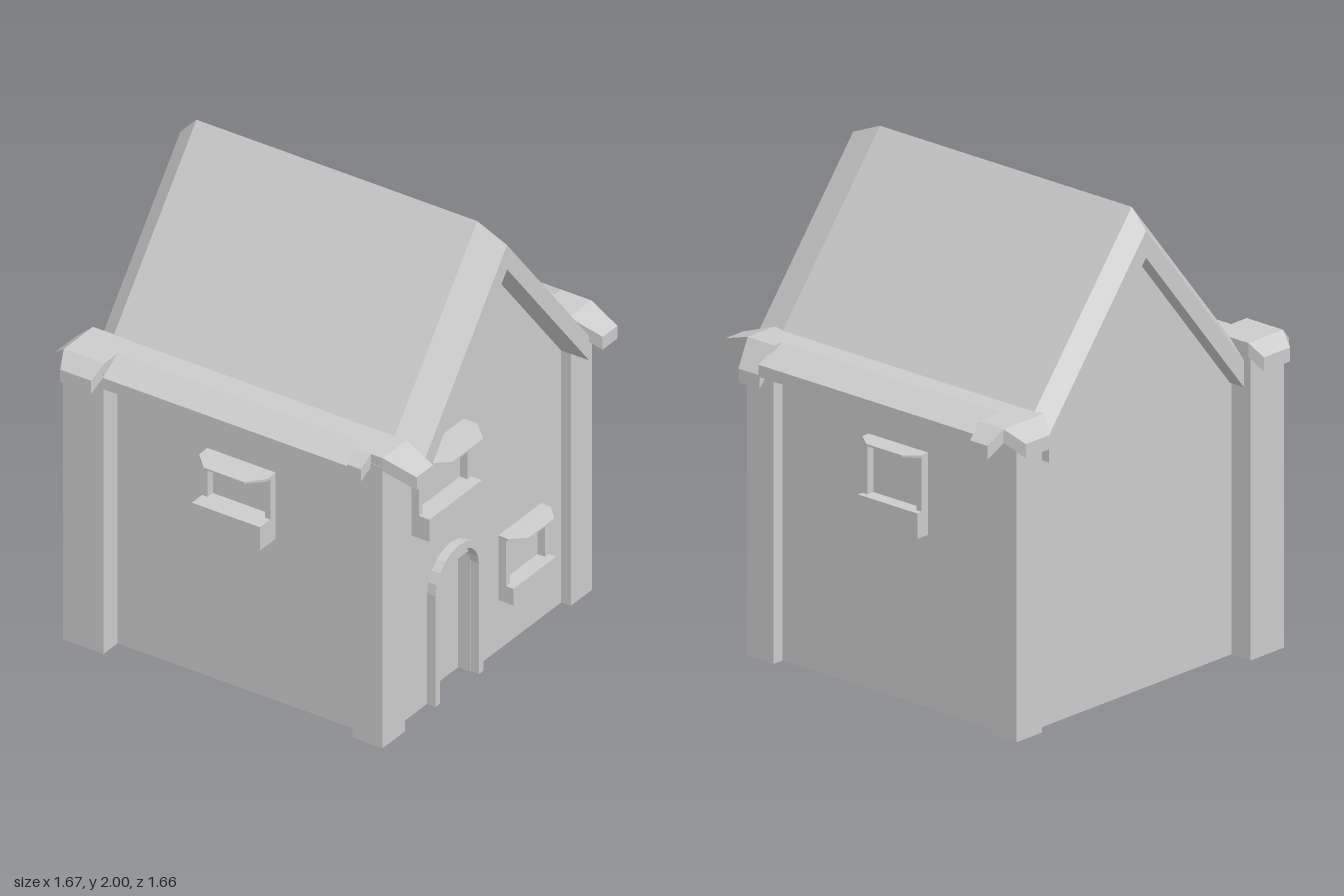
import * as THREE from 'three';
import { ConvexGeometry } from 'three/addons/geometries/ConvexGeometry.js';

const material = new THREE.MeshStandardMaterial({ color: 0xcccccc, flatShading: true });

function add(parent, name, geometry) {
  const mesh = new THREE.Mesh(geometry, material);
  mesh.name = name;
  parent.add(mesh);
  return mesh;
}

// Box given by its limits on each axis
function box(parent, name, x0, x1, y0, y1, z0, z1) {
  const g = new THREE.BoxGeometry(x1 - x0, y1 - y0, z1 - z0);
  g.translate((x0 + x1) / 2, (y0 + y1) / 2, (z0 + z1) / 2);
  return add(parent, name, g);
}

// Faceted convex solid around a few corner points
function hull(parent, name, points) {
  return add(parent, name, new ConvexGeometry(points.map((p) => new THREE.Vector3(...p))));
}

// Outline of [z, y] points extruded along x from x0 to x1
function slabX(parent, name, outline, x0, x1) {
  const shape = new THREE.Shape(outline.map(([z, y]) => new THREE.Vector2(-z, y)));
  const g = new THREE.ExtrudeGeometry(shape, { depth: x1 - x0, bevelEnabled: false });
  g.rotateY(Math.PI / 2);
  g.translate(x0, 0, 0);
  return add(parent, name, g);
}

// Window surround, facing +z, with its bottom centre at the origin
function windowUnit(name, w, h, sillH, sillD, awningD) {
  const g = new THREE.Group();
  g.name = name;
  const a = w / 2, jamb = 0.026;
  box(g, 'windowSill', -a, a, 0, sillH, -0.02, sillD);
  for (const s of [-1, 1]) {
    const x = s * (a - jamb / 2);
    box(g, 'windowJamb', x - jamb / 2, x + jamb / 2, sillH, h - 0.01, -0.02, 0.035);
  }
  const awning = [];
  for (const s of [-1, 1]) {
    awning.push([s * a, h, -0.01], [s * a, h - 0.012, -0.01]);
    awning.push([s * a, h - 0.002, awningD * 0.45], [s * a, h - 0.014, awningD * 0.45]);
    awning.push([s * a * 0.6, h - 0.006, awningD], [s * a * 0.6, h - 0.014, awningD]);
  }
  hull(g, 'windowAwning', awning);
  return g;
}

export function createModel() {
  const house = new THREE.Group();
  house.name = 'house';

  // Walls: gabled body plus a thin right facade notched for the doorway
  const ridgeZ = 0.015;
  const gable = [[-0.635, 1.27], [-0.54, 1.27], [ridgeZ, 1.92], [0.572, 1.27], [0.68, 1.27], [0.68, 0]];
  slabX(house, 'walls', [[-0.635, 0], ...gable], -0.68, 0.59);
  slabX(house, 'doorFacade',
    [[-0.635, 0], ...gable, [0.335, 0], [0.335, 0.55], [0.08, 0.55], [0.08, 0]], 0.59, 0.645);

  // Roof: one slab per slope, with the gable ends dipping down
  const stations = [[-0.755, 0.08], [-0.68, 0], [0.635, 0], [0.775, 0.06]];
  for (const eaveZ of [0.575, -0.54]) {
    const points = [];
    for (const [x, dip] of stations) {
      for (const t of [0, 0.11]) {
        points.push([x, 2 - dip - t, ridgeZ], [x, 1.31 - dip - t, eaveZ]);
      }
    }
    hull(house, 'roofSlope', points);
  }

  // Sloped eave ledges along front and back
  for (const [inner, edge, outer] of [[0.56, 0.68, 0.78], [-0.53, -0.635, -0.76]]) {
    const points = [];
    for (const x of [-0.6, 0.56]) {
      points.push([x, 1.31, inner], [x, 1.31, edge], [x, 1.25, outer],
        [x, 1.2, outer], [x, 1.175, edge], [x, 1.175, inner]);
    }
    hull(house, 'eaveLedge', points);
  }

  // Corner pillars with caps; each cap has a tapered lip along x and along z.
  // lipX: [end x, end z range], lipZ: [end z, end x range, base x range, end y]
  const corners = [
    { x: [-0.78, -0.59], z: [0.584, 0.775], cap: [-0.78, 0.77],
      lipX: [-0.84, 0.595, 0.745], lipZ: [0.83, -0.755, -0.61, -0.78, -0.59, 1.255] },
    { x: [0.69, 0.55], z: [0.584, 0.737], cap: [0.69, 0.735],
      lipX: [0.832, 0.6, 0.71], lipZ: [0.79, 0.56, 0.625, 0.55, 0.635, 1.265] },
    { x: [0.69, 0.55], z: [-0.54, -0.685], cap: [0.69, -0.68],
      lipX: [0.832, -0.55, -0.65], lipZ: [-0.755, 0.56, 0.67, 0.55, 0.69, 1.205] },
    { x: [-0.72, -0.59], z: [-0.54, -0.685], cap: [-0.72, -0.76],
      lipX: [-0.805, -0.585, -0.725], lipZ: [-0.83, -0.7, -0.61, -0.72, -0.59, 1.255] },
  ];
  for (const c of corners) {
    const xs = [...c.x].sort((a, b) => a - b);
    const zs = [...c.z].sort((a, b) => a - b);
    box(house, 'cornerPillar', xs[0], xs[1], 0, 1.27, zs[0], zs[1]);

    const [capX, capZ] = c.cap;
    const innerZ = c.z[0] - Math.sign(capZ) * 0.012;
    box(house, 'pillarCap', xs[0], xs[1], 1.25, 1.31, Math.min(innerZ, capZ), Math.max(innerZ, capZ));

    const [endX, za, zb] = c.lipX;
    const [endZ, xa, xb, baseA, baseB, endY] = c.lipZ;
    const lipX = [], lipZ = [];
    for (const t of [0, 0.058]) {
      lipX.push([capX, 1.31 - t, innerZ], [capX, 1.31 - t, capZ]);
      lipX.push([endX, 1.26 - t, za], [endX, 1.26 - t, zb]);
      lipZ.push([baseA, 1.31 - t, capZ], [baseB, 1.31 - t, capZ]);
      lipZ.push([xa, endY - t, endZ], [xb, endY - t, endZ]);
    }
    hull(house, 'capSideLip', lipX);
    hull(house, 'capFrontLip', lipZ);
  }

  // Arched door surround on the right side
  const archOuter = [], archInner = [];
  const doorZ = 0.208;
  for (let i = 0; i <= 10; i++) {
    const a = (Math.PI * i) / 10, c = Math.cos(a), s = Math.sin(a);
    archOuter.push([doorZ + 0.162 * c, 0.5 + 0.15 * s]);
    archInner.unshift([doorZ + 0.132 * c, 0.5 + 0.122 * s]);
  }
  slabX(house, 'doorFrame', [[doorZ + 0.162, 0], ...archOuter, [doorZ - 0.162, 0],
    [doorZ - 0.132, 0], ...archInner, [doorZ + 0.132, 0]], 0.63, 0.685);

  // Windows: front, back and two on the door side
  const placements = [
    ['frontWindow', 0.32, 0.3, 0.105, 0.105, 0.12, [-0.01, 0.73, 0.68], 0],
    ['backWindow', 0.31, 0.34, 0.105, 0.06, 0.08, [-0.055, 0.71, -0.635], Math.PI],
    ['upperSideWindow', 0.355, 0.35, 0.1, 0.085, 0.14, [0.645, 0.815, 0.298], Math.PI / 2],
    ['lowerSideWindow', 0.29, 0.293, 0.075, 0.07, 0.1, [0.645, 0.225, -0.26], Math.PI / 2],
  ];
  for (const [name, w, h, sillH, sillD, awningD, position, turn] of placements) {
    const unit = windowUnit(name, w, h, sillH, sillD, awningD);
    unit.position.set(...position);
    unit.rotation.y = turn;
    house.add(unit);
  }
  return house;
}
